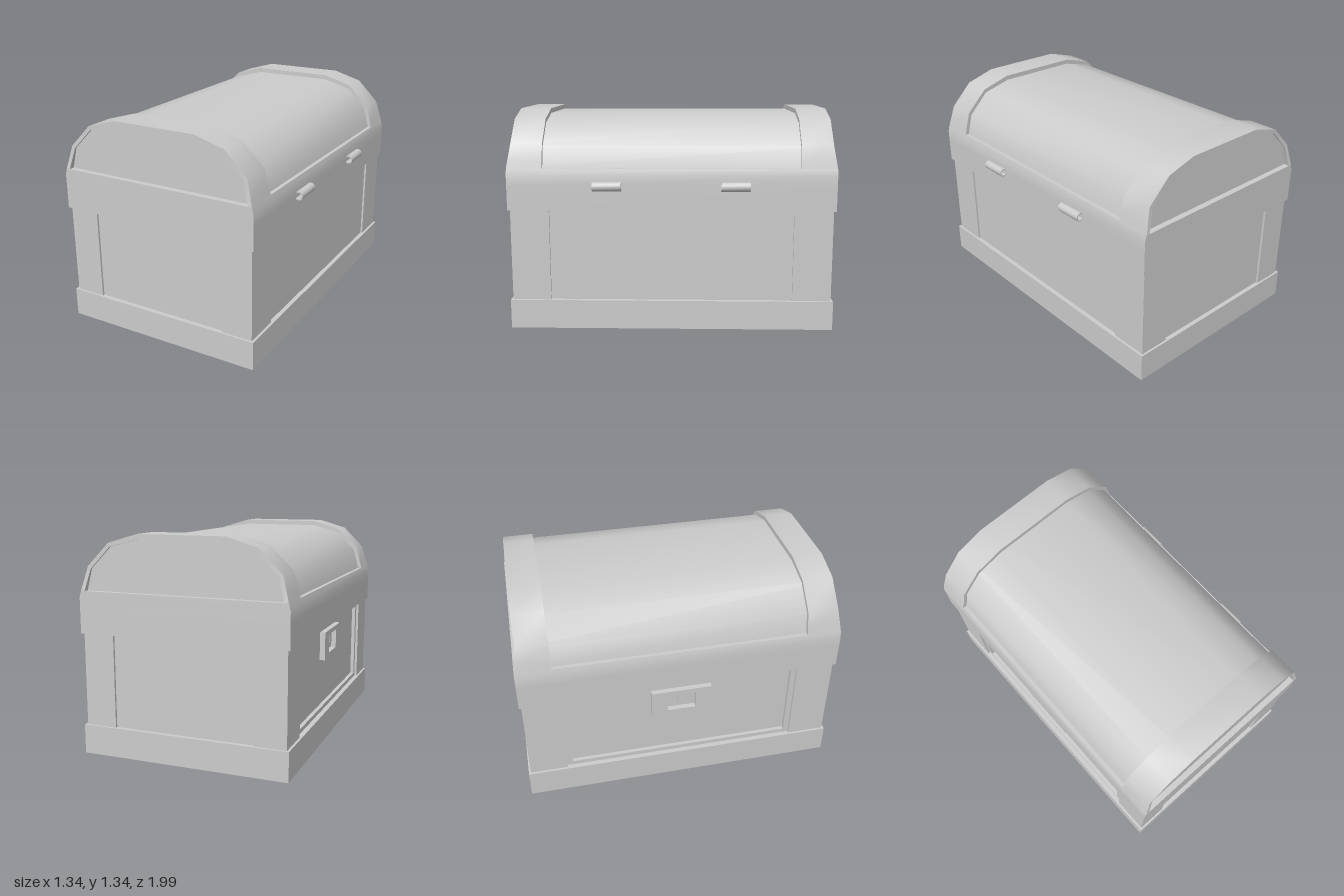
import * as THREE from 'three';
import { toCreasedNormals } from 'three/addons/utils/BufferGeometryUtils.js';

const material = new THREE.MeshStandardMaterial({ color: 0xcccccc });

// Half outlines of the lid, from the side up to the top
const OUTER = [[0.639, 1.0], [0.629, 1.04], [0.6, 1.145], [0.46, 1.285], [0.27, 1.34]];
const INNER = [[0.615, 1.0], [0.58, 1.132], [0.45, 1.262], [0.265, 1.31]];

const mirrored = (half) => [...half, ...half.map(([x, y]) => [-x, y]).reverse()];
const shapeOf = (pts) => new THREE.Shape(pts.map(([x, y]) => new THREE.Vector2(x, y)));
const rect = (w, h) => [[-w, -h], [w, -h], [w, h], [-w, h]];

// Extrude along z between z0 and z1
function prism(shape, z0, z1) {
  const geo = new THREE.ExtrudeGeometry(shape, { depth: z1 - z0, bevelEnabled: false, curveSegments: 8 });
  return geo.translate(0, 0, z0);
}

// Rectangular frame lying in xy, given by half sizes of the outside and the hole
function frameShape(w, h, holeW, holeH) {
  const shape = shapeOf(rect(w, h));
  shape.holes.push(new THREE.Path(rect(holeW, holeH).map(([x, y]) => new THREE.Vector2(x, y))));
  return shape;
}

export function createModel() {
  const chest = new THREE.Group();
  chest.name = 'chest';
  const body = new THREE.Group();
  body.name = 'body';
  const lid = new THREE.Group();
  lid.name = 'lid';
  chest.add(body, lid);

  const add = (parent, name, geo) => {
    const mesh = new THREE.Mesh(geo, material);
    mesh.name = name;
    parent.add(mesh);
    return mesh;
  };
  const box = (parent, name, x0, x1, y0, y1, z0, z1) =>
    add(parent, name, new THREE.BoxGeometry(x1 - x0, y1 - y0, z1 - z0)
      .translate((x0 + x1) / 2, (y0 + y1) / 2, (z0 + z1) / 2));

  // Base band with a stepped recess underneath
  const ring = (name, w, d, inset, y0, y1) =>
    add(body, name, prism(frameShape(w, d, w - inset, d - inset), y0, y1).rotateX(-Math.PI / 2));
  ring('baseBand', 0.65, 0.995, 0.1, 0, 0.18);
  ring('baseStep', 0.56, 0.905, 0.14, 0.03, 0.17);

  // Recessed panels, corner posts and upper band
  box(body, 'panels', -0.595, 0.622, 0.06, 0.8, -0.968, 0.968);
  for (const sx of [-1, 1]) {
    for (const sz of [-1, 1]) {
      const xs = [sx * 0.44, sx * 0.635].sort((a, b) => a - b);
      const zs = [sz * 0.745, sz * 0.982].sort((a, b) => a - b);
      box(body, 'cornerPost', xs[0], xs[1], 0.17, 0.75, zs[0], zs[1]);
    }
  }
  box(body, 'upperBand', -0.65, 0.65, 0.745, 0.895, -0.995, 0.995);

  // Raised border round the panel on the lock side
  add(body, 'lockSideBorder', prism(frameShape(0.76, 0.29, 0.71, 0.255), 0, 0.025)
    .rotateY(-Math.PI / 2).translate(-0.594, 0.4625, 0));

  // Lock plate with a square opening and a small tongue
  add(body, 'lockPlate', prism(frameShape(0.19, 0.09, 0.09, 0.06), 0, 0.035)
    .rotateY(-Math.PI / 2).translate(-0.594, 0.6, 0));
  box(body, 'lockTongue', -0.615, -0.59, 0.59, 0.665, -0.025, 0.025);

  // Lid: lower band, arched shell and a rib at each end
  const band = shapeOf(mirrored([[0.65, 0.895], [0.65, 0.96], [0.639, 1.0]]));
  add(lid, 'lidBand', toCreasedNormals(prism(band, -0.995, 0.995), 0.55));
  add(lid, 'lidShell', toCreasedNormals(prism(shapeOf(mirrored(INNER)), -0.96, 0.96), 0.55));

  const ribShape = shapeOf([...mirrored(OUTER), ...mirrored(INNER).reverse()]);
  for (const side of [-1, 1]) {
    const geo = side > 0 ? prism(ribShape, 0.78, 0.972) : prism(ribShape, -0.972, -0.78);
    // Flare the feet of the rib out to the edge of the band
    const p = geo.attributes.position;
    for (let i = 0; i < p.count; i++) {
      if (p.getY(i) < 1.001 && Math.abs(p.getZ(i)) > 0.97) p.setZ(i, side * 0.995);
    }
    add(lid, 'lidRib', toCreasedNormals(geo, 0.55));
  }

  // Hollow hinge barrels
  const barrel = new THREE.Shape().absarc(0, 0, 0.028, 0, Math.PI * 2);
  barrel.holes.push(new THREE.Path().absarc(0, 0, 0.019, 0, Math.PI * 2, true));
  for (const z of [-0.387, 0.387]) {
    add(chest, 'hinge', toCreasedNormals(prism(barrel, -0.0875, 0.0875), 0.8).translate(0.664, 0.895, z));
  }

  // The hinges project on one side, so the chest sits slightly off centre
  chest.position.x = -0.02;
  return chest;
}
